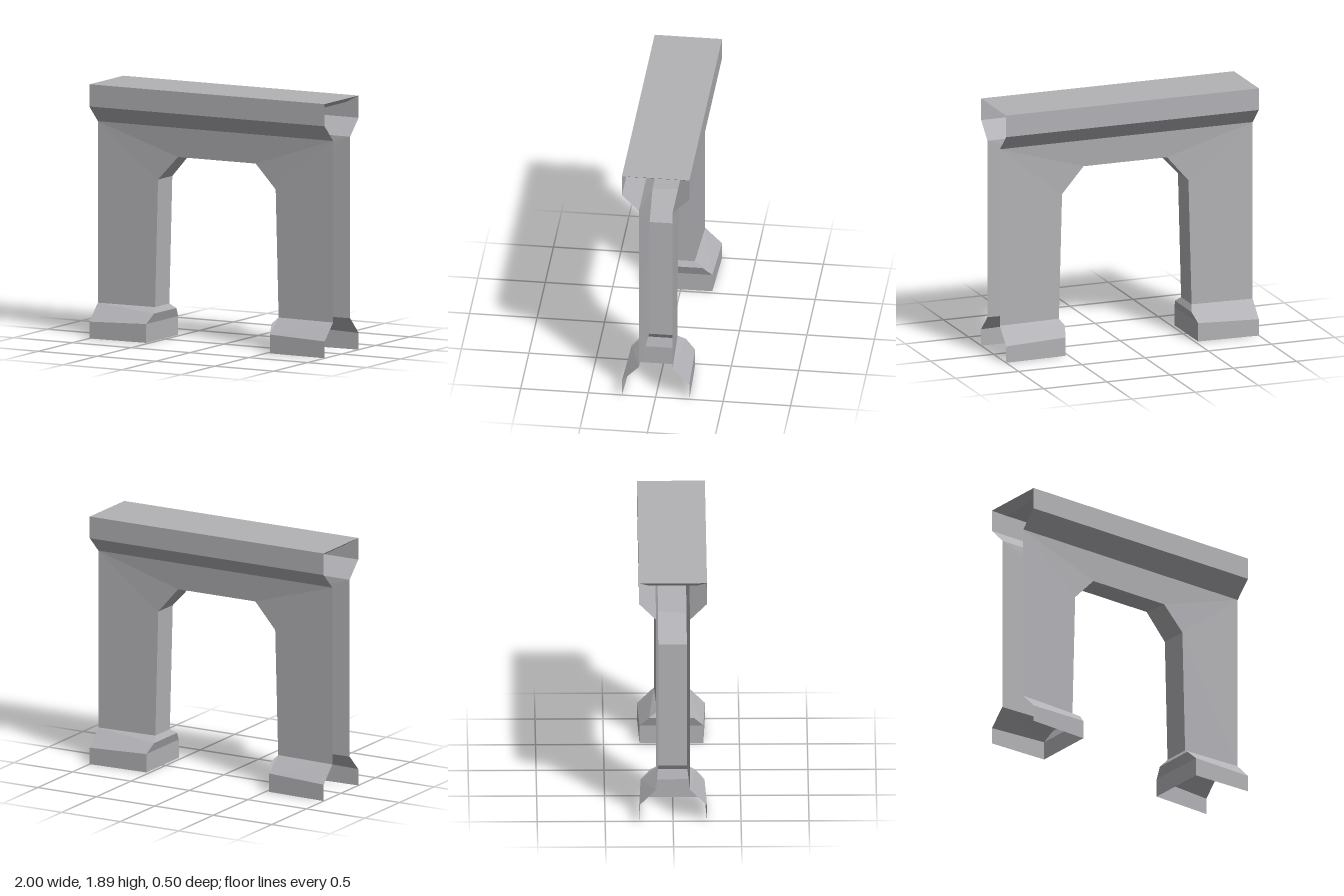
import * as THREE from 'three';

export function createModel() {
  const model = new THREE.Group();
  model.name = 'gateway';
  const stone = new THREE.MeshStandardMaterial({ color: 0xb2b2b6, side: THREE.DoubleSide });
  stone.name = 'grey stone';

  // Flat-shaded mesh from convex faces, each a loop of [x, y, z] corners
  function addFaces(name, faces, parent = model) {
    const pos = [];
    for (const f of faces)
      for (let i = 1; i < f.length - 1; i++) pos.push(...f[0], ...f[i], ...f[i + 1]);
    const geo = new THREE.BufferGeometry();
    geo.setAttribute('position', new THREE.Float32BufferAttribute(pos, 3));
    geo.computeVertexNormals();
    const mesh = new THREE.Mesh(geo, stone);
    mesh.name = name;
    parent.add(mesh);
  }
  const mirrorX = (f) => f.map(([x, y, z]) => [-x, y, z]).reverse();
  const bothSides = (faces) => [...faces, ...faces.map(mirrorX)];

  // Edge of the opening on the +x side, from the ground to the soffit
  const edge = (soffit) => [
    [0.525, 0, 0.235], [0.525, 0.14, 0.235], [0.5, 0.21, 0.165],
    [0.525, 0.25, 0.105], [0.5, 1.2, 0.105], [0.33, soffit, 0.105],
  ];

  // One long face of the gateway: feet, wall and cornice
  function addSide(name, soffit) {
    const side = new THREE.Group();
    side.name = name;
    const [e0, e1, e2, e3, e4, e5] = edge(soffit);
    const ground = [1, 0, 0.25], plinth = [1, 0.125, 0.25];
    const foot = [1, 0.25, 0.125], top = [1, 1.6, 0.125];
    const flip = ([x, y, z]) => [-x, y, z];

    addFaces('feet', bothSides([
      [e0, ground, plinth, e1],
      [e1, plinth, foot, e3, e2],
    ]), side);
    addFaces('wall', [
      ...bothSides([[e4, e3, foot, top], [e5, e4, top]]),
      [flip(e5), e5, top, flip(top)],
    ], side);
    const low = [1, 1.725, 0.25], high = [1, 1.89, 0.25];
    addFaces('cornice', [
      [flip(top), top, low, flip(low)],
      [flip(low), low, high, flip(high)],
    ], side);
    model.add(side);
    return side;
  }
  addSide('frontSide', 1.38);
  addSide('backSide', 1.395).rotation.y = Math.PI;

  // Lining of the opening, joining front and back edges
  const half = (soffit, s) => edge(soffit).map(([x, y, z]) => [x, y, z * s]);
  const whole = (h) => [...h, ...h.map(([x, y, z]) => [-x, y, z]).reverse()];
  const front = whole(half(1.38, 1)), back = whole(half(1.395, -1));
  const lining = [];
  for (let i = 0; i < front.length - 1; i++)
    lining.push([front[i], front[i + 1], back[i + 1], back[i]]);
  addFaces('openingLining', lining);

  // Flat roof with a shallow bevelled ceiling hung beneath it
  const rect = (x, y, z) => [[-x, y, z], [x, y, z], [x, y, -z], [-x, y, -z]];
  const rim = rect(1, 1.89, 0.25), inner = rect(0.93, 1.845, 0.18);
  addFaces('roof', [rim]);
  const ceiling = [[...inner].reverse()];
  for (let i = 0; i < 4; i++) {
    const j = (i + 1) % 4;
    ceiling.push([rim[i], inner[i], inner[j], rim[j]]);
  }
  addFaces('ceiling', ceiling);

  return model;
}
